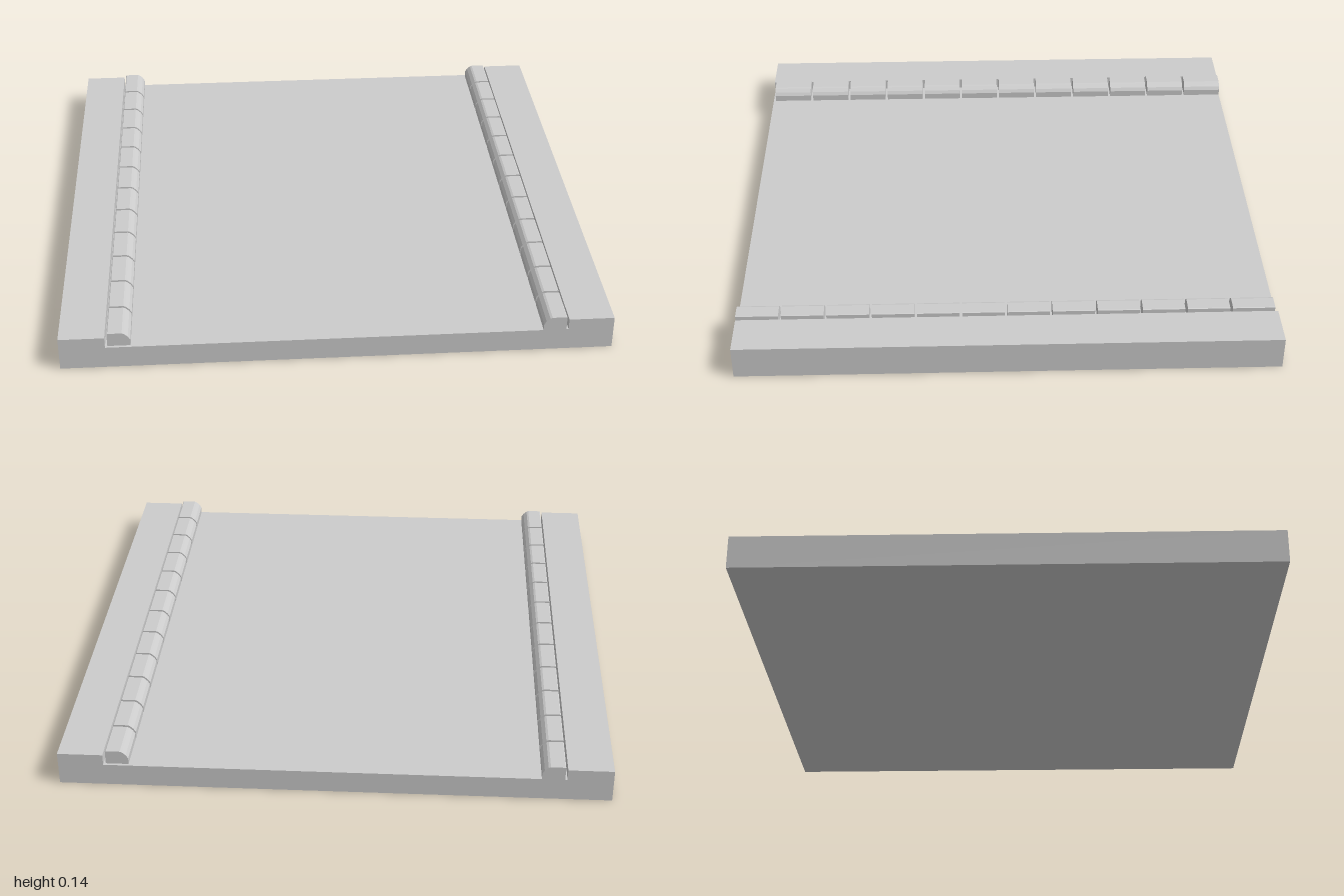
import * as THREE from 'three';

const material = new THREE.MeshStandardMaterial({ color: 0xcccccc, flatShading: true });

// Extrudes a cross-section in x and y along z, from z0 over the given length
function extrudeProfile(name, points, z0, length) {
  const shape = new THREE.Shape(points.map(([x, y]) => new THREE.Vector2(x, y)));
  const geometry = new THREE.ExtrudeGeometry(shape, { depth: length, bevelEnabled: false });
  geometry.translate(0, 0, z0);
  const mesh = new THREE.Mesh(geometry, material);
  mesh.name = name;
  return mesh;
}

export function createModel() {
  const model = new THREE.Group();
  model.name = 'roadTile';

  const roadY = 0.085, pavementY = 0.127, curbY = 0.138;
  const pavementX = 0.835, curbOuterX = 0.827, curbInnerX = 0.744;

  // Slab: lowered roadway between two raised pavements
  model.add(extrudeProfile('roadAndPavements', [
    [-1, 0], [1, 0], [1, pavementY], [pavementX, pavementY], [pavementX, roadY],
    [-pavementX, roadY], [-pavementX, pavementY], [-1, pavementY],
  ], -1, 2));

  // Curbstone cross-section, rounded towards the road
  const curbProfile = [
    [curbInnerX, roadY], [curbOuterX, roadY],
    [curbOuterX, curbY - 0.002], [curbOuterX - 0.003, curbY],
    [0.773, curbY], [0.765, 0.135], [0.752, 0.123], [curbInnerX, 0.11],
  ];

  // Two rows of curbstones, each a half turn of the other
  const count = 12, pitch = 2 / count, gap = 0.01;
  for (const side of ['left', 'right']) {
    const row = new THREE.Group();
    row.name = side + 'Curb';
    for (let i = 0; i < count; i++) {
      row.add(extrudeProfile('curbstone', curbProfile, -1 + gap + i * pitch, pitch - gap));
    }
    if (side === 'right') row.rotation.y = Math.PI;
    model.add(row);
  }
  return model;
}
